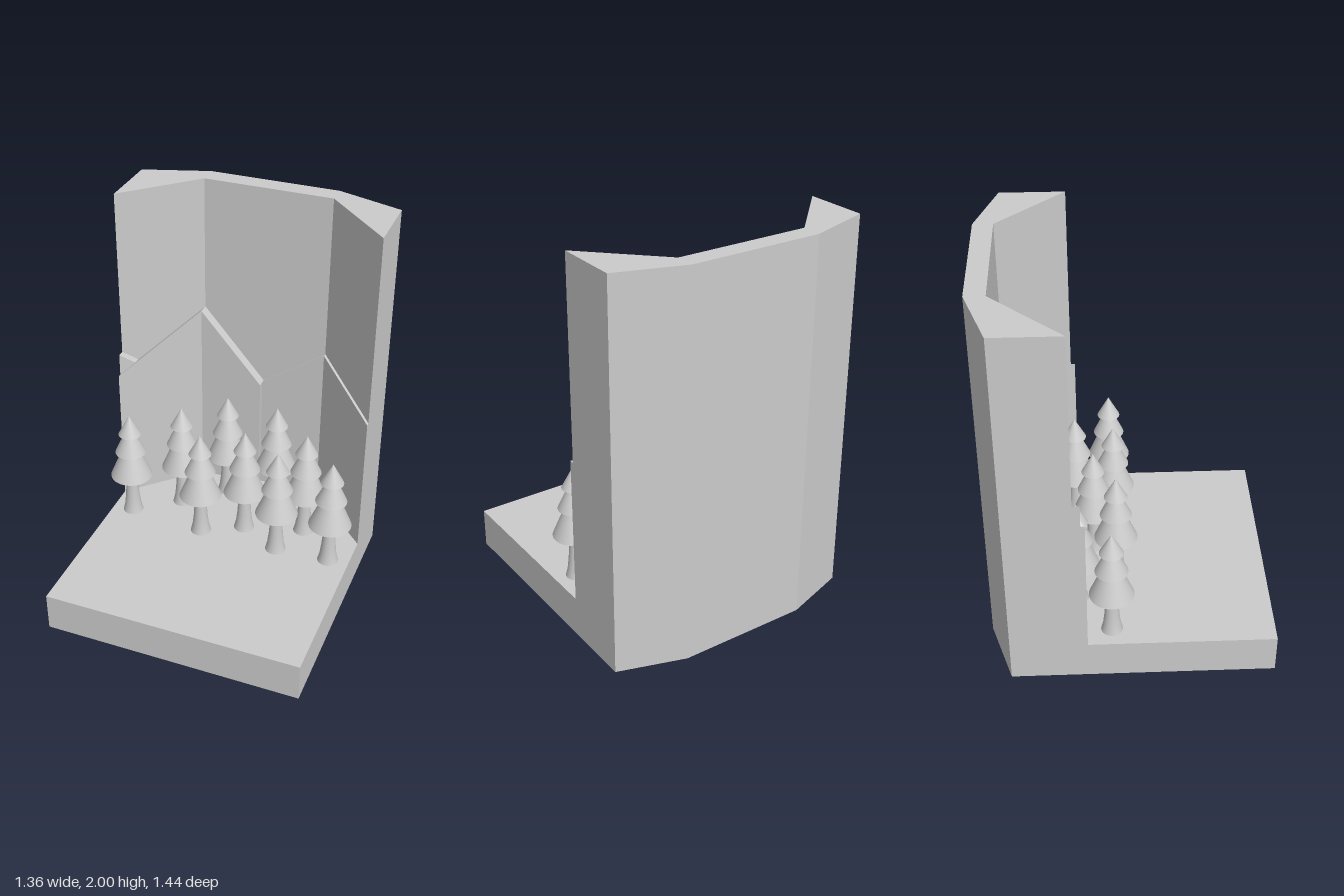
import * as THREE from 'three';

const grey = new THREE.MeshStandardMaterial({ color: 0xcccccc });
const BASE_H = 0.21, TOP = 2;

function add(parent, name, geometry) {
  const mesh = new THREE.Mesh(geometry, grey);
  mesh.name = name;
  parent.add(mesh);
  return mesh;
}

// Upright prism over a floor plan given as [x, z] corners
function prism(plan, y0, y1) {
  const shape = new THREE.Shape(plan.map(([x, z]) => new THREE.Vector2(x, -z)));
  const geo = new THREE.ExtrudeGeometry(shape, { depth: y1 - y0, bevelEnabled: false });
  return geo.rotateX(-Math.PI / 2).translate(0, y0, 0);
}

// Depth of the wall's inner face at a given x
const wallZ = (x) => -0.62 + Math.max(0, Math.abs(x) - 0.34);

// Slab with a sloping top, laid along one panel of the wall
function ridgePanel(x0, h0, x1, h1, thickness) {
  const shape = new THREE.Shape([
    new THREE.Vector2(x0, BASE_H), new THREE.Vector2(x1, BASE_H),
    new THREE.Vector2(x1, h1), new THREE.Vector2(x0, h0),
  ]);
  const geo = new THREE.ExtrudeGeometry(shape, { depth: thickness, bevelEnabled: false });
  const p = geo.attributes.position;
  for (let i = 0; i < p.count; i++) p.setZ(i, p.getZ(i) + wallZ(p.getX(i)));
  geo.computeVertexNormals();
  return geo;
}

function createTree() {
  const tree = new THREE.Group();
  tree.name = 'tree';
  // Flared trunk
  const trunk = [[0.055, 0], [0.045, 0.04], [0.038, 0.1], [0.033, 0.17], [0.029, 0.26]];
  add(tree, 'trunk', new THREE.LatheGeometry(trunk.map(([r, y]) => new THREE.Vector2(r, y)), 32));
  // Foliage tiers: bottom radius, top radius, bottom, top
  const tiers = [[0.112, 0.05, 0.24, 0.39], [0.082, 0.03, 0.39, 0.505], [0.06, 0, 0.505, 0.62]];
  for (const [rBottom, rTop, y0, y1] of tiers) {
    const tier = add(tree, 'foliageTier', new THREE.CylinderGeometry(rTop, rBottom, y1 - y0, 40));
    tier.position.y = (y0 + y1) / 2;
  }
  return tree;
}

export function createModel() {
  const model = new THREE.Group();
  model.name = 'forestDiorama';

  // Base and angled back wall share the same rear outline
  const rear = [[0.68, -0.61], [0.34, -0.72], [-0.34, -0.72], [-0.68, -0.61]];
  add(model, 'base', prism([[-0.68, 0.72], [0.68, 0.72], ...rear], 0, BASE_H));
  const inner = [[-0.68, -0.28], [-0.34, -0.62], [0.34, -0.62], [0.68, -0.28]];
  add(model, 'backWall', prism([...inner, ...rear], BASE_H, TOP));

  // Mountain relief on the wall
  const mountains = new THREE.Group();
  mountains.name = 'mountains';
  add(mountains, 'leftMountainSide', ridgePanel(-0.68, 0.98, -0.34, 1.27, 0.057));
  add(mountains, 'leftMountainCentre', ridgePanel(-0.34, 1.27, 0, 0.88, 0.057));
  add(mountains, 'rightMountainCentre', ridgePanel(0, 0.88, 0.34, 1.12, 0.022));
  add(mountains, 'rightMountainSide', ridgePanel(0.34, 1.12, 0.68, 0.98, 0.022));
  add(mountains, 'farMountain', ridgePanel(-0.68, 1.1, -0.615, 1.03, 0.037));
  model.add(mountains);

  // Trees at [x, z]
  const spots = [
    [-0.57, -0.1], [-0.34, -0.267], [-0.145, -0.455], [0.14, -0.455], [-0.15, -0.065],
    [0.06, -0.175], [0.28, -0.065], [0.37, -0.267], [0.567, -0.08],
  ];
  for (const [x, z] of spots) {
    const tree = createTree();
    tree.position.set(x, BASE_H, z);
    model.add(tree);
  }
  return model;
}
